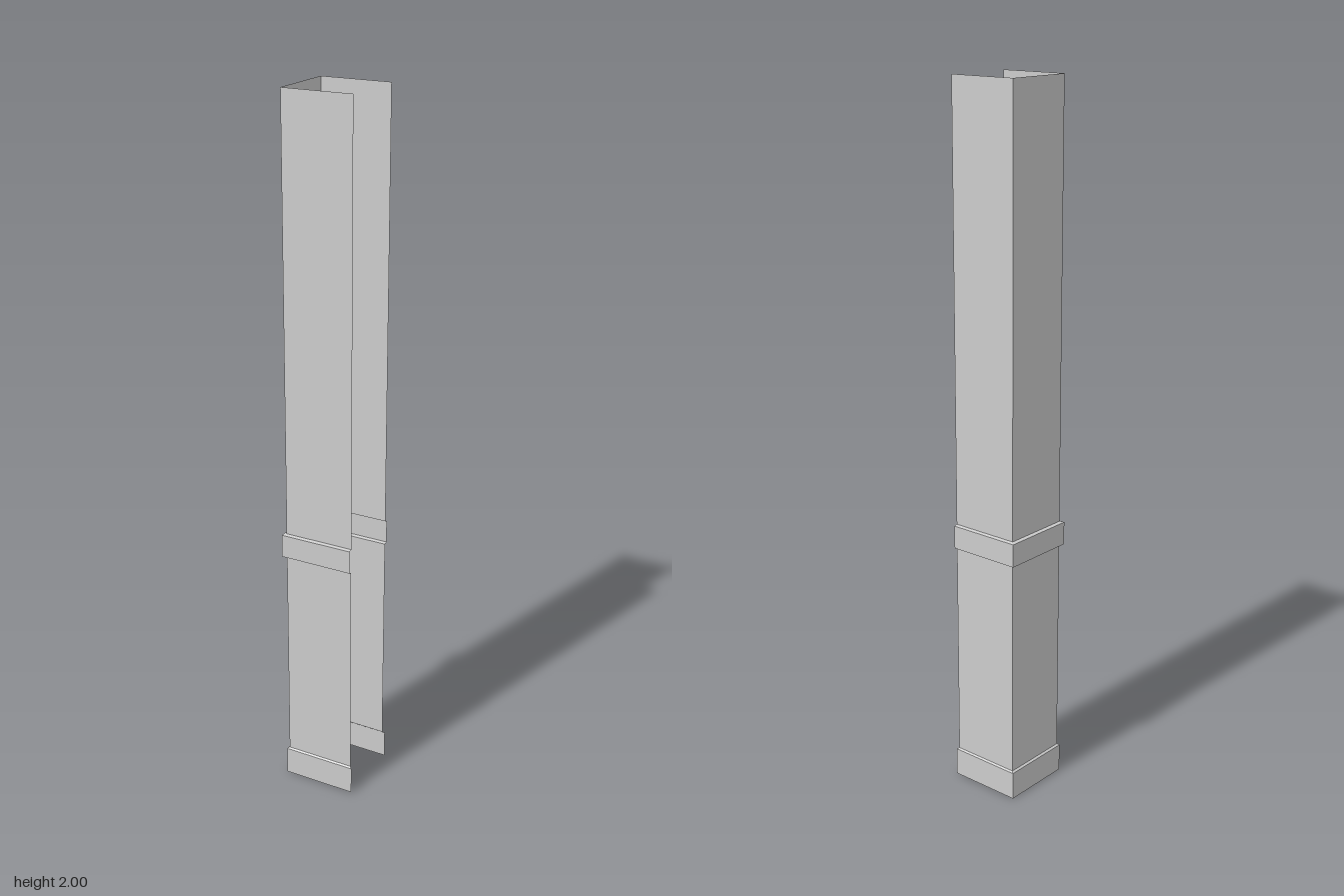
import * as THREE from 'three';

const material = new THREE.MeshStandardMaterial({ color: 0xcccccc, flatShading: true, side: THREE.DoubleSide });

// Rows are [y, closed side x, open side x, half depth]; each is a U open towards +x.
function channel(name, rows) {
  const positions = [];
  const sections = rows.map(([y, x0, x1, z]) => [[x1, y, z], [x0, y, z], [x0, y, -z], [x1, y, -z]]);
  for (let r = 0; r < sections.length - 1; r++) {
    const low = sections[r], high = sections[r + 1];
    for (let i = 0; i < 3; i++) {
      const a = low[i], b = low[i + 1], c = high[i + 1], d = high[i];
      positions.push(...a, ...c, ...b, ...a, ...d, ...c);
    }
  }
  const geometry = new THREE.BufferGeometry();
  geometry.setAttribute('position', new THREE.Float32BufferAttribute(positions, 3));
  geometry.computeVertexNormals();
  const mesh = new THREE.Mesh(geometry, material);
  mesh.name = name;
  return mesh;
}

export function createModel() {
  const group = new THREE.Group();
  group.name = 'openPillar';

  const wall = (y) => [y, -0.1005, 0.1025, 0.101];
  const band = (y) => [y, -0.1105, 0.1025, 0.1105];
  const foot = (y) => [y, -0.1065, 0.1085, 0.106];

  // Flared foot with a narrow ledge on top
  group.add(channel('base', [foot(0), foot(0.081), wall(0.085)]));
  // Plain walls below and above the raised band
  group.add(channel('lowerShaft', [wall(0.085), wall(0.714)]));
  group.add(channel('raisedBand', [wall(0.714), band(0.717), band(0.783), wall(0.786)]));
  group.add(channel('upperShaft', [wall(0.786), wall(2)]));

  return group;
}
